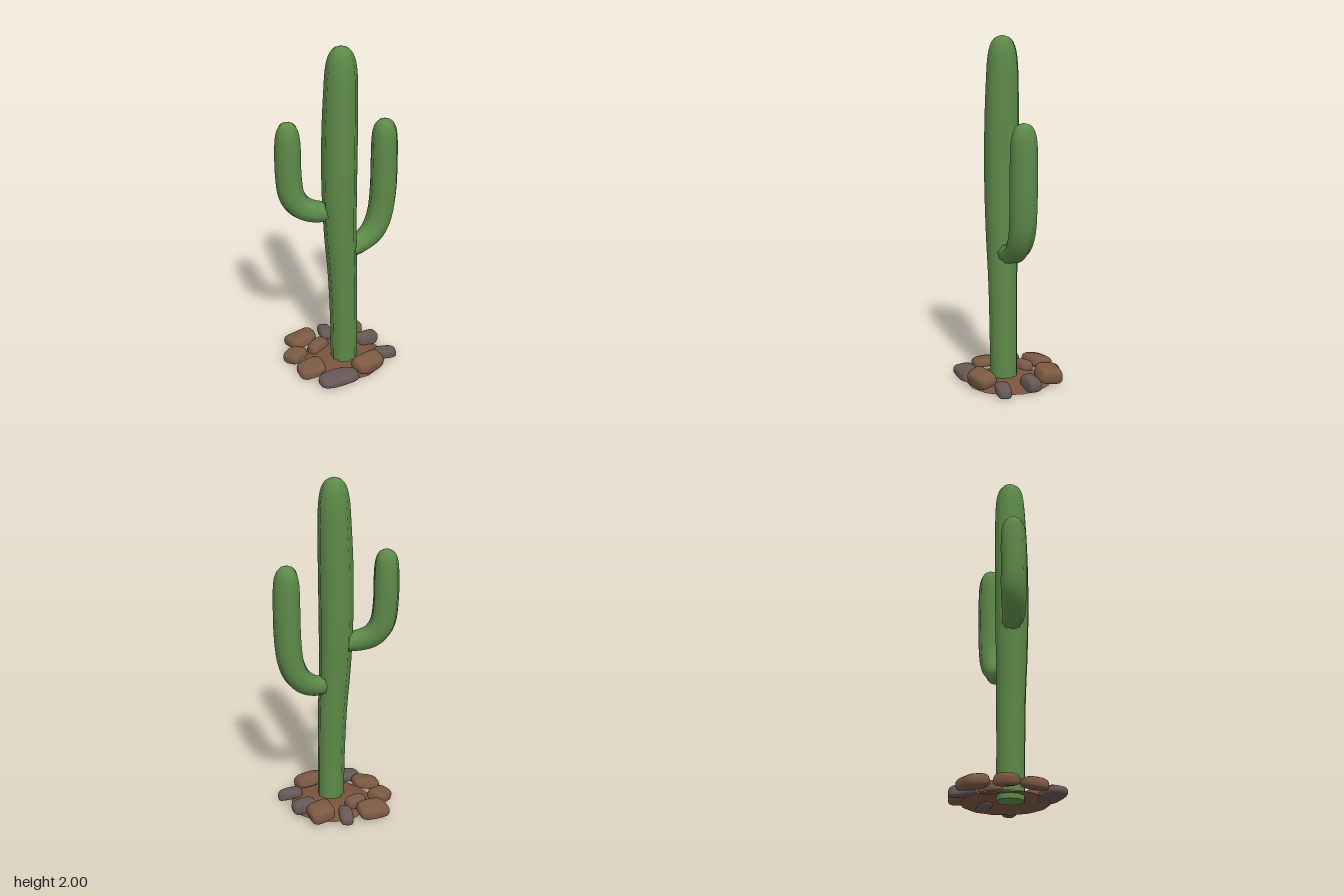
import * as THREE from 'three';
import { mergeVertices } from 'three/addons/utils/BufferGeometryUtils.js';

const paint = (name, color, side = THREE.FrontSide) => {
  const m = new THREE.MeshStandardMaterial({ color, side });
  m.name = name;
  return m;
};

// Ribbed stem swept along points [x, y, z, radius]; "across" is square to the bend.
function ribbedStem(points, across, ribs = 10, steps = 4) {
  const path = new THREE.CatmullRomCurve3(
    points.map(p => new THREE.Vector3(p[0], p[1], p[2])), false, 'catmullrom');
  const radii = new THREE.CatmullRomCurve3(
    points.map(p => new THREE.Vector3(p[3], 0, 0)), false, 'catmullrom');
  const sides = ribs * 2, rows = (points.length - 1) * steps;
  const pos = [], index = [];
  for (let i = 0; i <= rows; i++) {
    const t = i / rows, c = path.getPoint(t), r = Math.max(0, radii.getPoint(t).x);
    const T = path.getTangent(t);
    const N = across.clone().cross(T).normalize();
    const B = T.clone().cross(N);
    for (let j = 0; j < sides; j++) {
      const a = j / sides * Math.PI * 2;
      const rr = r * (j % 2 ? 0.93 : 1.03);
      const v = c.clone().addScaledVector(N, rr * Math.cos(a)).addScaledVector(B, rr * Math.sin(a));
      pos.push(v.x, v.y, v.z);
      if (i < rows) {
        const k = (j + 1) % sides, a0 = i * sides + j, b0 = i * sides + k;
        index.push(a0, b0, a0 + sides, b0, b0 + sides, a0 + sides);
      }
    }
  }
  // closed root, with its own ring for a sharp edge
  const root = pos.length / 3;
  pos.push(...pos.slice(0, sides * 3), ...points[0].slice(0, 3));
  for (let j = 0; j < sides; j++) index.push(root + sides, root + (j + 1) % sides, root + j);
  const g = new THREE.BufferGeometry();
  g.setAttribute('position', new THREE.Float32BufferAttribute(pos, 3));
  g.setIndex(index);
  g.computeVertexNormals();
  return g;
}

// Blocky rounded stone with uneven faces, half-size 1.
function stoneShape(seed) {
  let g = new THREE.IcosahedronGeometry(1, 3);
  g.deleteAttribute('normal');
  g.deleteAttribute('uv');
  g = mergeVertices(g, 1e-4);
  const p = g.attributes.position;
  const block = v => Math.sign(v) * Math.abs(v) ** 0.6;
  const v = new THREE.Vector3();
  for (let i = 0; i < p.count; i++) {
    v.fromBufferAttribute(p, i);
    const wobble = 1 + 0.07 * Math.sin(v.x * 2.6 + seed * 1.7) * Math.cos(v.z * 2.3 - seed)
      + 0.04 * Math.sin(v.y * 2 + v.x * 3 + seed * 2.9);
    const taper = 1 - 0.12 * v.y;
    p.setXYZ(i, block(v.x) * wobble * taper * 0.98, block(v.y) * wobble * 0.95,
      block(v.z) * wobble * taper * 0.98);
  }
  g.computeVertexNormals();
  return g;
}

export function createModel() {
  const model = new THREE.Group();
  const green = paint('cactusGreen', 0x5d8a48);
  const brown = paint('brownStone', 0x7b5942);
  const grey = paint('greyStone', 0x665756);
  const earth = paint('soilBrown', 0x79543e, THREE.DoubleSide);
  const add = (name, geometry, material) => {
    const m = new THREE.Mesh(geometry, material);
    m.name = name;
    model.add(m);
    return m;
  };

  // Trunk, gently swelling and leaning
  add('trunk', ribbedStem([
    [0.006, 0.015, 0.065, 0.078], [0.002, 0.3, 0.065, 0.079], [-0.006, 0.6, 0.063, 0.083],
    [-0.022, 0.9, 0.06, 0.091], [-0.028, 1.2, 0.058, 0.097], [-0.025, 1.5, 0.057, 0.097],
    [-0.018, 1.75, 0.057, 0.091], [-0.016, 1.88, 0.057, 0.083], [-0.016, 1.95, 0.057, 0.066],
    [-0.016, 1.985, 0.057, 0.04], [-0.016, 2.0, 0.057, 0],
  ], new THREE.Vector3(0, 0, 1)), green);

  // Left arm, low and long
  add('leftArm', ribbedStem([
    [0.035, 0.775, 0.07, 0.054], [0.13, 0.795, 0.075, 0.062], [0.205, 0.85, 0.085, 0.07],
    [0.25, 0.95, 0.092, 0.074], [0.267, 1.1, 0.097, 0.076], [0.27, 1.27, 0.097, 0.076],
    [0.27, 1.41, 0.096, 0.073], [0.27, 1.48, 0.095, 0.062], [0.27, 1.52, 0.095, 0.038],
    [0.27, 1.535, 0.095, 0],
  ], new THREE.Vector3(-0.1, 0, 1).normalize(), 9), green);

  // Right arm, higher and shorter
  add('rightArm', ribbedStem([
    [-0.07, 1.035, 0.03, 0.056], [-0.155, 1.045, -0.01, 0.062], [-0.22, 1.08, -0.05, 0.068],
    [-0.262, 1.16, -0.076, 0.072], [-0.275, 1.29, -0.083, 0.072], [-0.275, 1.4, -0.084, 0.072],
    [-0.275, 1.49, -0.084, 0.068], [-0.275, 1.545, -0.084, 0.057], [-0.275, 1.578, -0.084, 0.035],
    [-0.275, 1.592, -0.084, 0],
  ], new THREE.Vector3(-0.45, 0, 0.89), 9), green);

  // Shallow soil mound, hollow underneath
  const mound = new THREE.LatheGeometry(
    [[0.245, 0.004], [0.2, 0.025], [0.12, 0.042], [0, 0.048]].map(p => new THREE.Vector2(...p)), 14);
  const soil = add('soil', mound, earth);
  soil.position.set(0.02, 0, 0.04);

  // Ring of stones: [material, x, z, y, half width, half height, half depth, turn, outward tilt]
  [
    [brown, -0.1, -0.235, 0.052, 0.1, 0.038, 0.074, -0.08, 0.2],
    [grey, 0.065, -0.2, 0.048, 0.075, 0.033, 0.042, 1.1, 0.15],
    [brown, 0.195, -0.125, 0.073, 0.083, 0.046, 0.075, -0.15, 0.2],
    [brown, -0.065, -0.105, 0.05, 0.068, 0.036, 0.043, 0.1, 0.1],
    [brown, -0.235, -0.11, 0.05, 0.07, 0.036, 0.06, 0.35, 0.2],
    [brown, -0.24, 0.06, 0.053, 0.078, 0.034, 0.073, -0.3, 0.2],
    [grey, -0.165, 0.222, 0.04, 0.125, 0.03, 0.062, -0.2, 0.08],
    [brown, 0.053, 0.24, 0.07, 0.098, 0.043, 0.064, 0.06, 0.3],
    [grey, 0.215, 0.195, 0.041, 0.077, 0.031, 0.042, -0.35, 0.1],
    [grey, 0.225, 0.015, 0.05, 0.077, 0.041, 0.046, -0.1, 0.12],
  ].forEach(([mat, x, z, y, w, h, d, turn, tilt], i) => {
    const s = add('stone' + (i + 1), stoneShape(i + 1).scale(w, h, d), mat);
    s.position.set(x, y, z);
    s.rotation.y = turn;
    s.rotateOnWorldAxis(new THREE.Vector3(z, 0, -x).normalize(), tilt);
  });

  return model;
}
